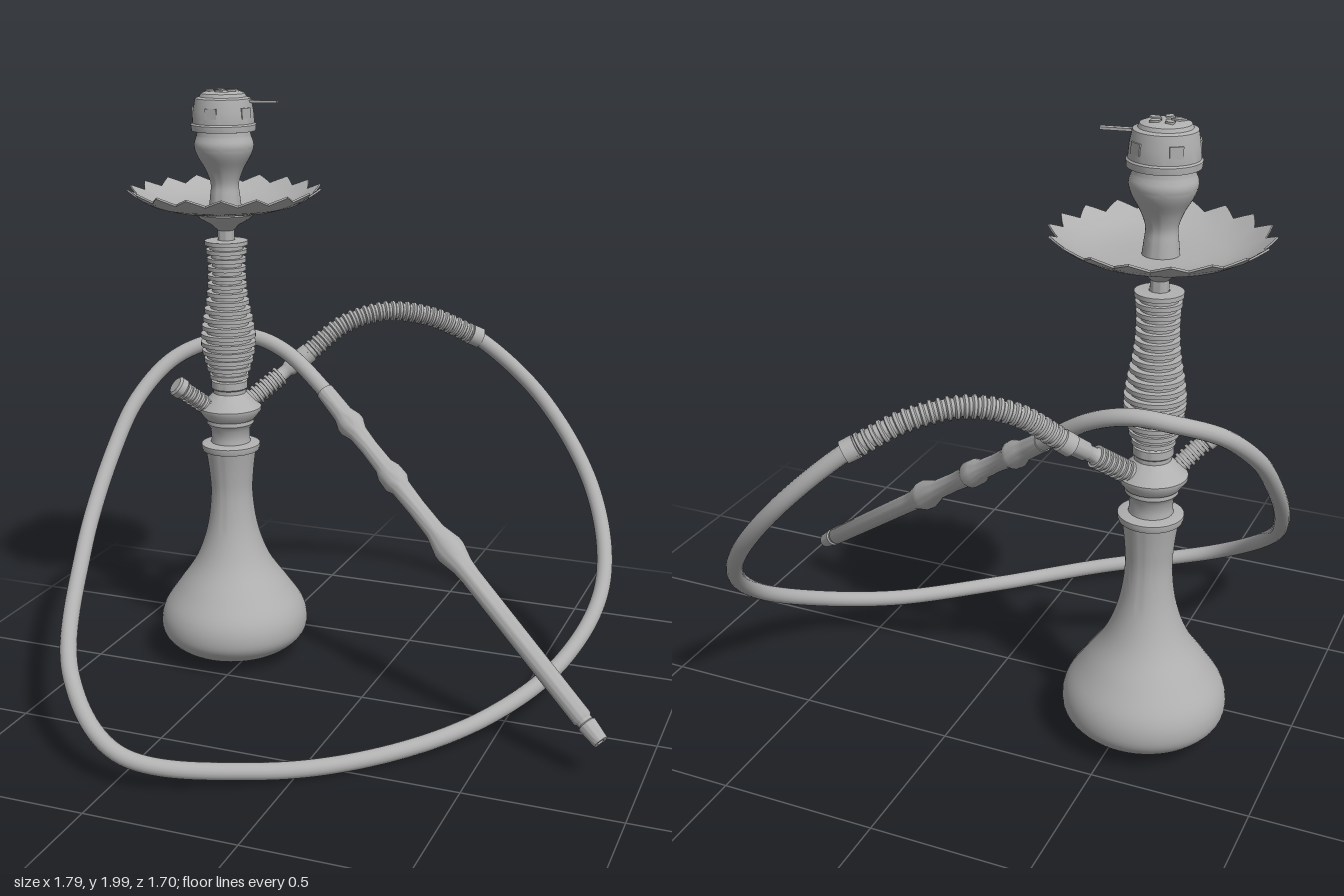
import * as THREE from 'three';
import { toCreasedNormals } from 'three/addons/utils/BufferGeometryUtils.js';

const V = (x, y, z) => new THREE.Vector3(x, y, z);
const grey = new THREE.MeshStandardMaterial({ color: 0xb0b0b0, side: THREE.DoubleSide });
grey.name = 'grey';

const AX = -0.563, AZ = -0.206; // axis of the pipe body

function add(parent, name, geometry) {
  const m = new THREE.Mesh(geometry, grey);
  m.name = name;
  parent.add(m);
  return m;
}

// Lathe from [radius, height] pairs, with sharp edges kept
function lathe(pairs, segments = 40, smooth = 0) {
  let pts = pairs.map(([r, y]) => new THREE.Vector2(r, y));
  if (smooth) pts = new THREE.SplineCurve(pts).getPoints(smooth);
  return toCreasedNormals(new THREE.LatheGeometry(pts, segments), 0.7);
}

// Point a +y lathe part from a towards b
function aim(mesh, a, b) {
  mesh.position.copy(a);
  mesh.quaternion.setFromUnitVectors(V(0, 1, 0), b.clone().sub(a).normalize());
}

// Profile of thin discs standing out from a core
function ribs(y0, y1, count, core, disc) {
  const out = [], p = (y1 - y0) / count;
  for (let i = 0; i < count; i++) {
    const y = y0 + i * p, t = (i + 0.5) / count;
    out.push([core(t), y], [core(t), y + p * 0.5], [disc(t), y + p * 0.5], [disc(t), y + p * 0.98], [core(t), y + p]);
  }
  return out;
}

// Tube whose radius follows a rule along its length (u = 0..1)
function sweep(curve, segments, sides, radius) {
  const g = new THREE.TubeGeometry(curve, segments, 1, sides, false);
  const p = g.attributes.position, v = V(0, 0, 0);
  for (let s = 0; s <= segments; s++) {
    const c = curve.getPointAt(s / segments), r = radius(s / segments);
    for (let k = 0; k <= sides; k++) {
      const i = s * (sides + 1) + k;
      v.fromBufferAttribute(p, i).sub(c).multiplyScalar(r).add(c);
      p.setXYZ(i, v.x, v.y, v.z);
    }
  }
  return g;
}

export function createModel() {
  const model = new THREE.Group();
  model.name = 'waterPipe';
  const body = new THREE.Group();
  body.name = 'body';
  body.position.set(AX, 0, AZ);
  model.add(body);

  // Glass base
  add(body, 'vase', lathe([[0.001, 0.022], [0.10, 0.022], [0.19, 0.045], [0.245, 0.09], [0.259, 0.14], [0.245, 0.2],
    [0.195, 0.275], [0.13, 0.37], [0.09, 0.48], [0.073, 0.6], [0.077, 0.69], [0.088, 0.775]], 56, 50));
  add(body, 'vaseCollar', lathe([[0.05, 0.765], [0.098, 0.768], [0.101, 0.778], [0.101, 0.79], [0.07, 0.797], [0.05, 0.797]]));

  // Seal and hub carrying the ports
  add(body, 'seal', lathe([[0.07, 0.79], [0.066, 0.81], [0.068, 0.845], [0.082, 0.865], [0.08, 0.885], [0.06, 0.885]]));
  add(body, 'hub', lathe([[0.06, 0.875], [0.085, 0.88], [0.108, 0.91], [0.108, 0.922], [0.085, 0.945], [0.056, 0.972],
    [0.056, 0.985], [0.062, 0.99], [0.062, 1.015], [0.04, 1.02]]));

  // Ribbed stem, swelling near the bottom
  const swell = new THREE.SplineCurve([[0, 0.064], [0.1, 0.083], [0.19, 0.094], [0.32, 0.086], [0.45, 0.073],
    [0.6, 0.066], [0.8, 0.066], [1, 0.074]].map(([a, b]) => new THREE.Vector2(a, b)));
  const discR = t => swell.getPoint(t).y;
  add(body, 'ribbedStem', lathe([[0.04, 1.01], ...ribs(1.01, 1.5, 17, t => discR(t) - 0.016, discR), [0.03, 1.502]]));
  add(body, 'stemTop', lathe([[0.028, 1.49], [0.028, 1.535], [0.05, 1.555], [0.085, 1.575], [0.098, 1.59], [0.098, 1.602], [0.04, 1.605]]));

  // Tray with pointed petals round the rim
  const profile = [[0.03, 1.603], [0.12, 1.603], [0.19, 1.609], [0.245, 1.624], [0.285, 1.646], [0.325, 1.675],
    [0.322, 1.68], [0.282, 1.653], [0.243, 1.632], [0.19, 1.617], [0.12, 1.61], [0.03, 1.61]];
  const tray = new THREE.LatheGeometry(profile.map(p => new THREE.Vector2(...p)), 18 * 6);
  const tp = tray.attributes.position;
  for (let i = 0; i < tp.count; i++) {
    const seg = Math.floor(i / profile.length), r = Math.hypot(tp.getX(i), tp.getZ(i));
    const notch = 1 - Math.abs((seg % 6) / 3 - 1);
    const k = Math.max(0, (r - 0.28) / 0.045) * notch;
    const f = 1 - 0.1 * k;
    tp.setXYZ(i, tp.getX(i) * f, tp.getY(i) - 0.024 * k, tp.getZ(i) * f);
  }
  add(body, 'tray', toCreasedNormals(tray, 0.7)).rotation.y = 3 * Math.PI / 180;

  // Tobacco bowl
  add(body, 'bowl', lathe([[0.055, 1.605], [0.05, 1.65], [0.047, 1.69], [0.062, 1.735], [0.09, 1.785],
    [0.099, 1.82], [0.09, 1.85], [0.088, 1.87]], 40, 30));

  // Heat cap with vents and a handle
  add(body, 'heatCap', lathe([[0.08, 1.862], [0.106, 1.865], [0.108, 1.885], [0.103, 1.89], [0.1, 1.93], [0.092, 1.97],
    [0.078, 1.975], [0.073, 1.986], [0.055, 1.993], [0.001, 1.995]]));
  for (let i = 0; i < 5; i++) {
    const a = i * Math.PI * 2 / 5 + 0.3;
    const vent = add(body, 'topVent', new THREE.CylinderGeometry(0.022, 0.022, 0.006, 4));
    vent.scale.z = 0.7;
    vent.position.set(Math.cos(a) * 0.036, 1.996, Math.sin(a) * 0.036);
    vent.rotation.y = -a;
    const slot = add(body, 'sideVent', new THREE.BoxGeometry(0.006, 0.035, 0.04));
    slot.position.set(Math.cos(a) * 0.0985, 1.925, Math.sin(a) * 0.0985);
    slot.rotation.y = -a;
  }
  const handle = add(body, 'capHandle', new THREE.BoxGeometry(0.115, 0.008, 0.02));
  handle.position.set(0.125, 1.961, -0.018);
  handle.rotation.y = 0.15;

  // Short purge valve
  const valve = add(model, 'purgeValve', lathe([[0.024, 0], ...ribs(0.02, 0.135, 6, () => 0.025, () => 0.032),
    [0.025, 0.14], [0.036, 0.142], [0.036, 0.165], [0.028, 0.172], [0.001, 0.172]], 24));
  aim(valve, V(-0.605, 0.91, -0.165), V(-0.71, 1.025, -0.065));

  // Hose port and connector
  const port = add(model, 'hosePort', lathe([[0.026, 0], ...ribs(0.03, 0.17, 7, () => 0.028, () => 0.036),
    [0.024, 0.175], [0.024, 0.2], [0.03, 0.21], [0.031, 0.32], [0.02, 0.32]], 24));
  aim(port, V(-0.53, 0.915, -0.24), V(-0.35, 1.085, -0.42));

  // Hose, with a ribbed stretch at the start
  const path = new THREE.CatmullRomCurve3([
    [-0.365, 1.07, -0.41], [-0.25, 1.175, -0.5], [-0.125, 1.212, -0.585], [0.01, 1.185, -0.675], [0.15, 1.105, -0.765],
    [0.385, 0.885, -0.825], [0.61, 0.6, -0.705], [0.713, 0.35, -0.45], [0.65, 0.18, -0.165], [0.48, 0.075, 0.11],
    [0.22, 0.035, 0.41], [-0.095, 0.05, 0.665], [-0.475, 0.115, 0.82], [-0.7, 0.28, 0.695], [-0.835, 0.55, 0.36],
    [-0.868, 0.81, 0.075], [-0.845, 0.96, -0.07], [-0.77, 1.075, -0.2], [-0.65, 1.13, -0.29], [-0.53, 1.145, -0.322],
    [-0.4, 1.105, -0.315], [-0.235, 0.99, -0.27], [-0.17, 0.94, -0.237]].map(p => V(...p)), false, 'centripetal');
  add(model, 'hose', new THREE.TubeGeometry(path, 260, 0.027, 16));

  const ribbed = new THREE.CatmullRomCurve3(path.points.slice(0, 5), false, 'centripetal');
  const turns = 28;
  const spring = sweep(ribbed, turns * 6, 16, u => 0.0285 + (Math.round(u * turns * 6) % 6 < 3 ? 0 : 0.0075));
  add(model, 'hoseSpring', toCreasedNormals(spring, 0.7));
  for (const u of [0, 1]) {
    const cuff = add(model, 'springCuff', new THREE.CylinderGeometry(0.036, 0.036, 0.04, 24));
    const c = ribbed.getPointAt(u);
    aim(cuff, c, c.clone().add(ribbed.getTangentAt(u)));
  }

  // Turned mouthpiece
  const a = V(-0.235, 0.99, -0.268), b = V(0.875, 0.137, 0.283), L = a.distanceTo(b);
  const turned = [[0.02, 0], [0.031, 0.002], [0.033, 0.05], [0.034, 0.075], [0.046, 0.1], [0.046, 0.112], [0.033, 0.135],
    [0.03, 0.18], [0.032, 0.235], [0.043, 0.255], [0.045, 0.285], [0.034, 0.3], [0.031, 0.36], [0.033, 0.43],
    [0.05, 0.475], [0.05, 0.49], [0.036, 0.53], [0.033, 0.56], [0.032, 0.94], [0.026, 0.945], [0.026, 0.952],
    [0.031, 0.955], [0.027, 0.985], [0.025, 1], [0.012, 1], [0.012, 0.97], [0.001, 0.97]];
  const mouthpiece = add(model, 'mouthpiece', lathe(turned.map(([r, t]) => [r, t * L]), 28));
  aim(mouthpiece, a, b);

  return model;
}
